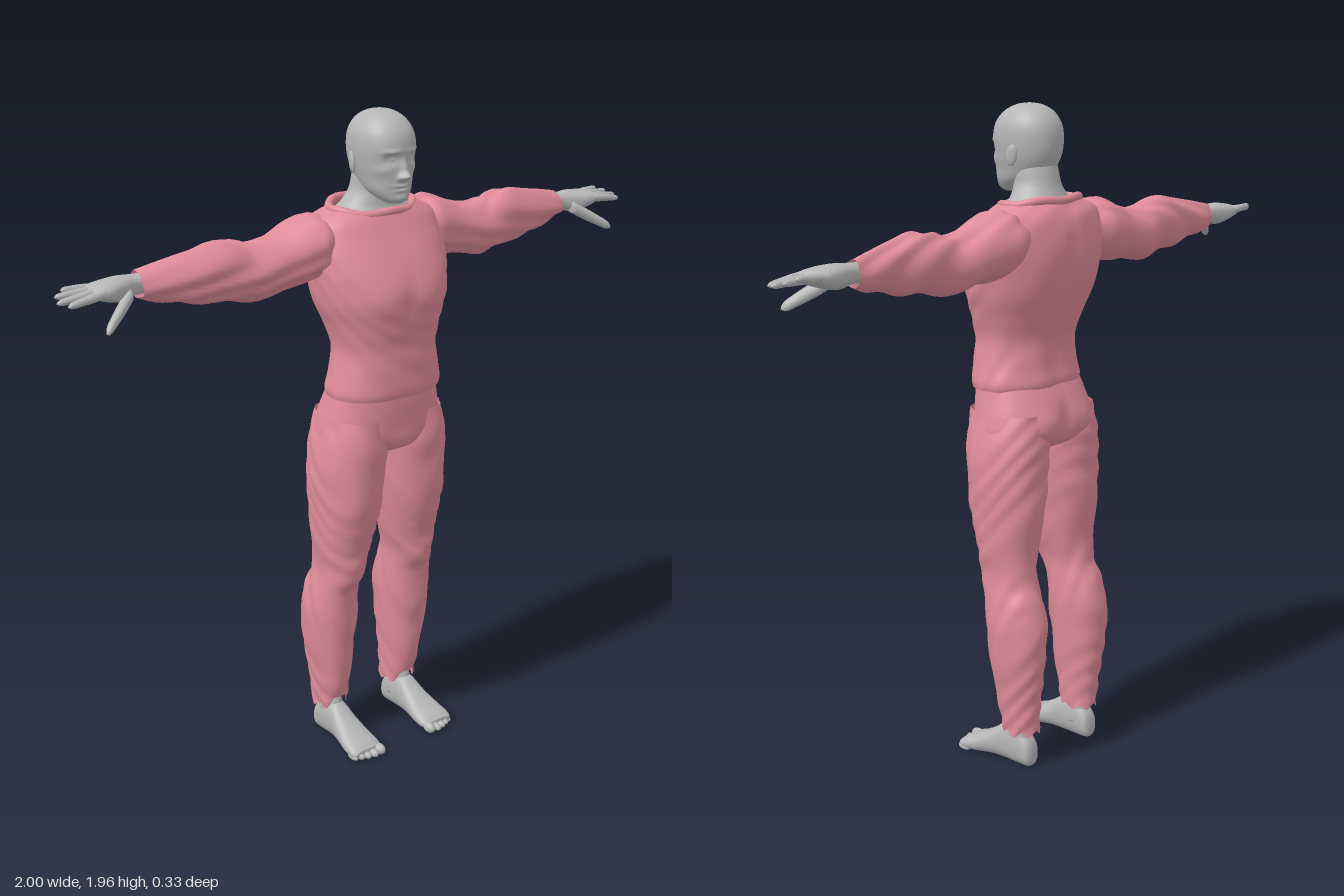
import * as THREE from 'three';

const skin = new THREE.MeshStandardMaterial({ color: 0xb6b6b6 });
skin.name = 'greySkin';
const cloth = new THREE.MeshStandardMaterial({ color: 0xe08c99, side: THREE.DoubleSide });
cloth.name = 'pinkCloth';

// Smooth blend through neighbouring cross-sections
const blend = (a, b, c, d, t) =>
  0.5 * (2 * b + (c - a) * t + (2 * a - 5 * b + 4 * c - d) * t * t + (3 * b - a - 3 * c + d) * t * t * t);

// Skin a closed form over cross-sections [position, u0, u1, v0, v1] in rising order along an axis.
// u,v are x,z for axis y; y,z for axis x; x,y for axis z.
// Bumps [x, y, z, rx, ry, rz, amount] swell or dent the surface; tweak adjusts single points.
function loft(axis, secs, { seg = 40, steps = 6, power = 2, bumps = [], caps = true, tweak } = {}) {
  const pos = [], index = [], n = (secs.length - 1) * steps;
  const place = (t, u, v) => axis === 'y' ? new THREE.Vector3(u, t, v)
    : axis === 'x' ? new THREE.Vector3(t, u, v) : new THREE.Vector3(u, v, t);
  const at = (k) => secs[Math.max(0, Math.min(secs.length - 1, k))];
  const centres = [];
  for (let i = 0; i <= n; i++) {
    const k = Math.min(Math.floor(i / steps), secs.length - 2), f = i / steps - k;
    const [t, u0, u1, v0, v1] = secs[0].map((_, c) => blend(at(k - 1)[c], at(k)[c], at(k + 1)[c], at(k + 2)[c], f));
    centres.push(place(t, (u0 + u1) / 2, (v0 + v1) / 2));
    for (let j = 0; j < seg; j++) {
      const a = (j / seg) * Math.PI * 2, c = Math.cos(a), s = Math.sin(a);
      const cu = Math.sign(c) * Math.abs(c) ** (2 / power), sv = Math.sign(s) * Math.abs(s) ** (2 / power);
      const p = place(t, (u0 + u1) / 2 + cu * (u1 - u0) / 2, (v0 + v1) / 2 + sv * (v1 - v0) / 2);
      const out = place(0, c, s);
      let push = 0;
      for (const [x, y, z, rx, ry, rz, amount] of bumps) {
        push += amount * Math.exp(-(((p.x - x) / rx) ** 2) - ((p.y - y) / ry) ** 2 - ((p.z - z) / rz) ** 2);
      }
      p.addScaledVector(out, push);
      if (tweak) tweak(p, out, i / n, a);
      pos.push(p.x, p.y, p.z);
    }
  }
  const tri = (a, b, c) => axis === 'y' ? index.push(a, c, b) : index.push(a, b, c);
  for (let i = 0; i < n; i++) for (let j = 0; j < seg; j++) {
    const a = i * seg + j, b = i * seg + (j + 1) % seg;
    tri(a, b, a + seg);
    tri(b, b + seg, a + seg);
  }
  if (caps) for (const i of [0, n]) {
    const mid = pos.length / 3;
    pos.push(...centres[i].toArray());
    for (let j = 0; j < seg; j++) {
      const a = i * seg + j, b = i * seg + (j + 1) % seg;
      if (i) tri(a, b, mid); else tri(b, a, mid);
    }
  }
  const g = new THREE.BufferGeometry();
  g.setAttribute('position', new THREE.Float32BufferAttribute(pos, 3));
  g.setIndex(index);
  g.computeVertexNormals();
  return g;
}

// Mirror a geometry to the right side
function mirrored(geo) {
  const g = geo.clone().scale(-1, 1, 1), ix = g.index.array;
  for (let i = 0; i < ix.length; i += 3) [ix[i], ix[i + 1]] = [ix[i + 1], ix[i]];
  g.computeVertexNormals();
  return g;
}

const both = (list) => list.flatMap((b) => [b, [-b[0], ...b.slice(1)]]);
const crease = (p, out, size) =>
  p.addScaledVector(out, size * Math.sin(38 * p.x + 30 * p.y + 9 * Math.sin(13 * p.z + 8 * p.y)));

export function createModel() {
  const model = new THREE.Group();
  model.name = 'figure';
  const add = (name, geo, mat) => {
    const m = new THREE.Mesh(geo, mat);
    m.name = name;
    model.add(m);
  };
  const pair = (name, geo, mat) => {
    add('left' + name, geo, mat);
    add('right' + name, mirrored(geo), mat);
  };

  // Head with brow, eyes, nose, lips and chin
  add('head', loft('y', [
    [1.706, -0.022, 0.022, 0.045, 0.095], [1.718, -0.042, 0.042, 0.015, 0.107], [1.742, -0.062, 0.062, -0.03, 0.11],
    [1.775, -0.073, 0.073, -0.07, 0.112], [1.815, -0.083, 0.083, -0.09, 0.113], [1.86, -0.088, 0.088, -0.095, 0.117],
    [1.9, -0.083, 0.083, -0.088, 0.108], [1.932, -0.064, 0.064, -0.066, 0.082], [1.951, -0.036, 0.036, -0.032, 0.046],
    [1.957, -0.003, 0.003, 0.004, 0.01],
  ], { seg: 112, steps: 9, power: 2.15, bumps: [
    [0, 1.785, 0.12, 0.012, 0.012, 0.06, 0.026], [0, 1.808, 0.12, 0.01, 0.02, 0.06, 0.013],
    [0, 1.757, 0.11, 0.024, 0.005, 0.05, 0.006], [0, 1.745, 0.11, 0.02, 0.005, 0.05, 0.005],
    [0, 1.751, 0.11, 0.028, 0.0035, 0.05, -0.003], [0, 1.722, 0.105, 0.02, 0.012, 0.05, 0.006],
    ...both([[0.035, 1.833, 0.1, 0.018, 0.013, 0.05, -0.013], [0.033, 1.853, 0.1, 0.022, 0.006, 0.05, 0.006],
      [0.034, 1.832, 0.1, 0.011, 0.006, 0.05, 0.007], [0.013, 1.782, 0.11, 0.007, 0.007, 0.05, 0.009],
      [0.052, 1.8, 0.08, 0.02, 0.014, 0.04, 0.004]]),
  ] }), skin);

  // Ears
  const ear = new THREE.SphereGeometry(1, 16, 12).scale(0.008, 0.031, 0.017);
  ear.rotateY(0.35).rotateX(-0.15).translate(0.089, 1.816, -0.005);
  pair('Ear', ear, skin);

  // Neck sloping into the shoulders
  add('neck', loft('y', [
    [1.63, -0.15, 0.15, -0.13, 0.05], [1.672, -0.126, 0.126, -0.115, 0.048], [1.695, -0.097, 0.097, -0.103, 0.042],
    [1.73, -0.072, 0.072, -0.09, 0.042], [1.77, -0.066, 0.066, -0.081, 0.045], [1.81, -0.06, 0.06, -0.07, 0.04],
  ]), skin);

  // Sweater body: chest, shoulder blades, spine groove and stomach
  add('sweaterBody', loft('y', [
    [1.148, -0.178, 0.178, -0.1, 0.138], [1.17, -0.181, 0.181, -0.106, 0.143], [1.22, -0.17, 0.17, -0.096, 0.143],
    [1.29, -0.161, 0.161, -0.097, 0.145], [1.36, -0.177, 0.177, -0.122, 0.154], [1.43, -0.203, 0.203, -0.148, 0.158],
    [1.5, -0.216, 0.216, -0.16, 0.147], [1.56, -0.221, 0.221, -0.164, 0.122], [1.615, -0.219, 0.219, -0.158, 0.09],
    [1.655, -0.2, 0.2, -0.145, 0.068], [1.685, -0.14, 0.14, -0.122, 0.05],
  ], { seg: 80, power: 2.3, caps: false, bumps: [
    [0, 1.42, -0.16, 0.016, 0.19, 0.06, -0.013], [0, 1.46, 0.16, 0.014, 0.07, 0.05, -0.005],
    [0, 1.31, 0.15, 0.1, 0.03, 0.05, -0.004],
    ...both([[0.085, 1.455, 0.15, 0.07, 0.055, 0.06, 0.01], [0.1, 1.52, -0.15, 0.06, 0.08, 0.05, 0.007],
      [0.06, 1.25, -0.1, 0.035, 0.09, 0.05, 0.006]]),
  ], tweak: (p, out) => crease(p, out, 0.0015) }), cloth);

  // Rolled collar, lower at the front
  const ring = [];
  for (let i = 0; i < 28; i++) {
    const a = (i / 28) * Math.PI * 2;
    ring.push(new THREE.Vector3(0.134 * Math.cos(a), 1.684 - 0.011 * Math.sin(a) + 0.003 * Math.sin(5 * a), -0.034 + 0.088 * Math.sin(a)));
  }
  add('collar', new THREE.TubeGeometry(new THREE.CatmullRomCurve3(ring, true), 84, 0.012, 10, true), cloth);

  // Sleeves with soft folds
  pair('Sleeve', loft('x', [
    [0.15, 1.53, 1.662, -0.13, 0.03], [0.2, 1.505, 1.677, -0.155, 0.05], [0.25, 1.49, 1.666, -0.156, 0.045],
    [0.32, 1.482, 1.638, -0.145, 0.035], [0.4, 1.469, 1.627, -0.135, 0.03], [0.46, 1.475, 1.642, -0.125, 0.022],
    [0.53, 1.486, 1.65, -0.115, 0.012], [0.6, 1.494, 1.636, -0.106, 0.002], [0.68, 1.512, 1.621, -0.101, -0.013],
    [0.755, 1.532, 1.606, -0.099, -0.026],
  ], { seg: 48, caps: false, tweak: (p, out) => crease(p, out, 0.004) }), cloth);

  // Hands: palm, four fingers and thumb
  pair('Palm', loft('x', [
    [0.72, 1.545, 1.597, -0.093, -0.035], [0.77, 1.545, 1.6, -0.094, -0.034], [0.81, 1.537, 1.603, -0.1, -0.02],
    [0.85, 1.544, 1.6, -0.104, -0.006], [0.885, 1.556, 1.594, -0.102, -0.006], [0.902, 1.567, 1.584, -0.092, -0.014],
  ], { seg: 28, power: 2.4 }), skin);
  const finger = (a, b, r) => loft('x', [0, 0.3, 0.65, 0.9, 1].map((t, i) => {
    const c = a.map((v, k) => v + (b[k] - v) * t), w = r * [1, 1.05, 0.9, 0.7, 0.1][i];
    return [c[0], c[1] - w, c[1] + w, c[2] - w, c[2] + w];
  }), { seg: 14, steps: 4 });
  [[-0.091, 0.962, 1.585, -0.09], [-0.067, 0.99, 1.575, -0.073], [-0.042, 1, 1.567, -0.042], [-0.017, 0.985, 1.563, -0.01]]
    .forEach(([z, x, y, tip], i) => pair('Finger' + (i + 1), finger([0.875, 1.577, z], [x, y, tip], 0.0115), skin));
  pair('Thumb', finger([0.795, 1.557, -0.03], [0.906, 1.489, 0.037], 0.0185), skin);

  // Trouser seat: waist, buttocks and cleft
  add('trouserSeat', loft('y', [
    [0.965, -0.07, 0.07, -0.08, 0.07], [0.985, -0.15, 0.15, -0.118, 0.105], [1.02, -0.199, 0.199, -0.135, 0.122],
    [1.07, -0.195, 0.195, -0.137, 0.127], [1.12, -0.182, 0.182, -0.122, 0.13], [1.165, -0.172, 0.172, -0.1, 0.13],
  ], { seg: 72, power: 2.35, bumps: [
    [0, 1.03, -0.14, 0.016, 0.07, 0.06, -0.018], [0, 1.0, 0.125, 0.04, 0.035, 0.05, 0.008],
    ...both([[0.085, 1.04, -0.14, 0.055, 0.05, 0.05, 0.014]]),
  ] }), cloth);

  // Trouser legs: thigh, knee, calf and a cuff notched at the front
  pair('TrouserLeg', loft('y', [
    [0.11, 0.085, 0.183, -0.135, -0.022], [0.2, 0.082, 0.191, -0.143, -0.002], [0.3, 0.075, 0.206, -0.156, 0.014],
    [0.43, 0.062, 0.219, -0.164, 0.028], [0.51, 0.063, 0.212, -0.148, 0.036], [0.585, 0.064, 0.2, -0.12, 0.058],
    [0.66, 0.046, 0.207, -0.112, 0.07], [0.79, 0.022, 0.217, -0.13, 0.104], [0.9, 0.007, 0.222, -0.132, 0.115],
    [1.0, 0.004, 0.211, -0.136, 0.123], [1.085, 0.02, 0.188, -0.125, 0.12],
  ], { seg: 48, power: 2.15, caps: false, bumps: [[0.135, 0.59, 0.06, 0.04, 0.04, 0.04, 0.008], [0.135, 0.53, 0.04, 0.05, 0.02, 0.04, -0.005]],
    tweak: (p, out, t, a) => {
      crease(p, out, 0.0025);
      if (t < 0.05) p.y += (1 - t / 0.05) * (0.045 * Math.max(0, Math.sin(a)) ** 6 + 0.008 * Math.sin(7 * a));
    } }), cloth);

  // Bare ankles, feet and toes
  pair('Ankle', loft('y', [
    [0.05, 0.103, 0.168, -0.118, -0.02], [0.1, 0.106, 0.168, -0.115, -0.02], [0.15, 0.107, 0.164, -0.115, -0.03],
    [0.21, 0.104, 0.168, -0.12, -0.03],
  ], { seg: 28 }), skin);
  pair('Foot', loft('z', [
    [-0.131, 0.125, 0.148, 0.016, 0.045], [-0.12, 0.108, 0.165, 0.002, 0.085], [-0.08, 0.104, 0.169, 0, 0.122],
    [-0.03, 0.1, 0.173, 0.002, 0.122], [0.02, 0.093, 0.183, 0.004, 0.088], [0.07, 0.086, 0.194, 0, 0.06],
    [0.11, 0.085, 0.197, 0, 0.043], [0.13, 0.095, 0.188, 0.006, 0.03],
  ], { seg: 32, power: 2.3 }), skin);
  [[0.101, 0.133, 0.016], [0.126, 0.133, 0.012], [0.148, 0.127, 0.011], [0.168, 0.119, 0.011], [0.186, 0.11, 0.01]]
    .forEach(([x, z, r], i) => pair('Toe' + (i + 1),
      new THREE.SphereGeometry(1, 14, 10).scale(r, r * 1.05, 0.023).translate(x, r * 1.05, z), skin));

  return model;
}
